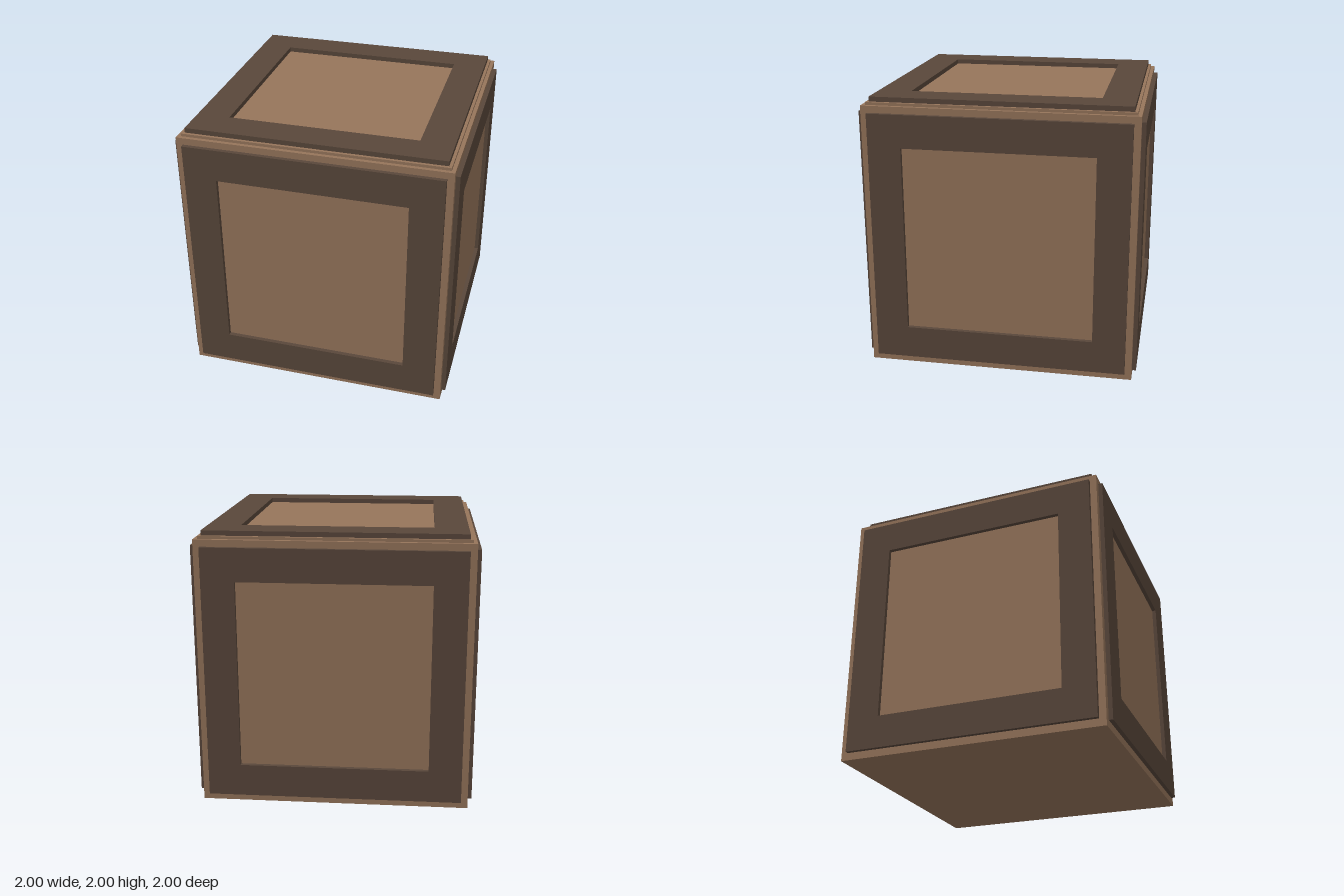
import * as THREE from 'three';

export function createModel() {
  const model = new THREE.Group();
  model.name = 'crate';
  const lightWood = new THREE.MeshStandardMaterial({ color: 0x96755b });
  lightWood.name = 'light wood';
  const darkWood = new THREE.MeshStandardMaterial({ color: 0x59473b });
  darkWood.name = 'dark wood';

  // Solid block with bottom at y
  function block(name, width, height, y) {
    const mesh = new THREE.Mesh(new THREE.BoxGeometry(width, height, width), lightWood);
    mesh.name = name;
    mesh.position.y = y + height / 2;
    model.add(mesh);
  }
  block('body', 1.94, 1.945, 0);
  block('lid', 1.885, 0.02, 1.945);

  // Square frame with a square opening, extruded outwards along z
  const square = (path, h) => path.moveTo(-h, -h).lineTo(h, -h).lineTo(h, h).lineTo(-h, h).closePath();
  const outline = square(new THREE.Shape(), 0.921);
  outline.holes.push(square(new THREE.Path(), 0.683));
  const frameGeometry = (depth) => new THREE.ExtrudeGeometry(outline, { depth, bevelEnabled: false });

  // Frames on the four sides
  const sideGeometry = frameGeometry(0.03);
  ['front', 'left', 'back', 'right'].forEach((side, i) => {
    const angle = (i * Math.PI) / 2;
    const frame = new THREE.Mesh(sideGeometry, darkWood);
    frame.name = side + 'Frame';
    frame.rotation.y = angle;
    frame.position.set(0.97 * Math.sin(angle), 0.975, 0.97 * Math.cos(angle));
    model.add(frame);
  });

  // Frame on the lid
  const topFrame = new THREE.Mesh(frameGeometry(0.035), darkWood);
  topFrame.name = 'topFrame';
  topFrame.rotation.x = -Math.PI / 2;
  topFrame.position.y = 1.965;
  model.add(topFrame);

  return model;
}
